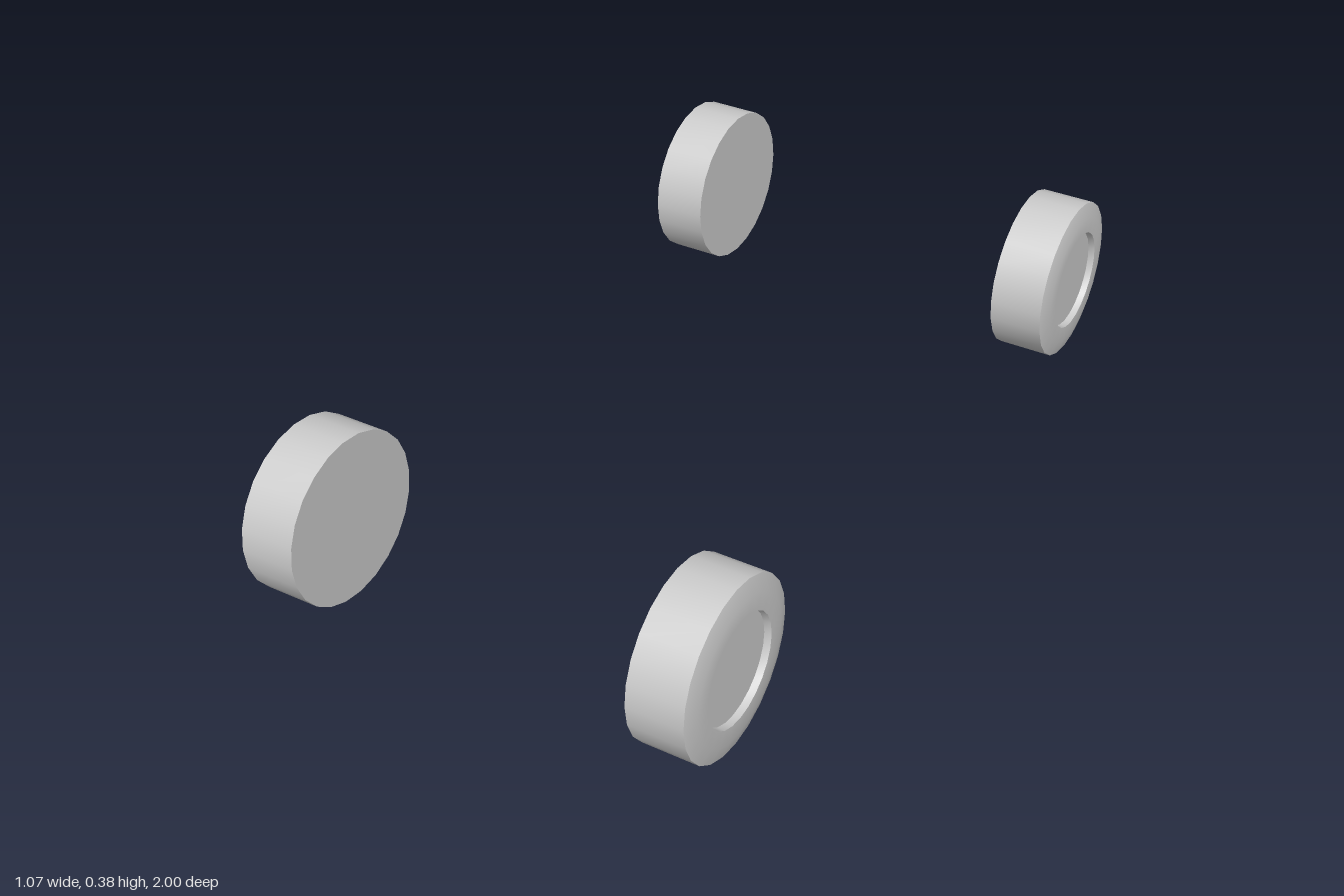
import * as THREE from 'three';
import { toCreasedNormals } from 'three/addons/utils/BufferGeometryUtils.js';

const RADIUS = 0.192, WIDTH = 0.136;

// Wheel profile (radius, distance from the inner face): flat back, straight tread,
// shallow bevelled outer face with a recessed hub
function wheelGeometry() {
  const profile = [
    [0, 0],
    [RADIUS, 0],
    [RADIUS, WIDTH - 0.01],
    [0.157, WIDTH],
    [0.12, WIDTH],
    [0.118, WIDTH - 0.015],
    [0, WIDTH - 0.015],
  ].map(([r, h]) => new THREE.Vector2(r, h));
  return toCreasedNormals(new THREE.LatheGeometry(profile, 24), Math.PI / 6);
}

export function createModel() {
  const model = new THREE.Group();
  model.name = 'wheels';
  const material = new THREE.MeshStandardMaterial({ color: 0xcccccc });
  const geometry = wheelGeometry();

  // The rear axle is slightly wider than the front one
  const axles = [
    { name: 'front', z: 1 - RADIUS, inner: 0.39 },
    { name: 'rear', z: RADIUS - 1, inner: 0.401 },
  ];
  for (const { name, z, inner } of axles) {
    for (const side of [1, -1]) {
      const wheel = new THREE.Mesh(geometry, material);
      wheel.name = name + (side > 0 ? 'Left' : 'Right') + 'Wheel';
      wheel.rotation.z = -side * Math.PI / 2; // hub faces outward
      wheel.position.set(side * inner, RADIUS, z);
      model.add(wheel);
    }
  }
  return model;
}
